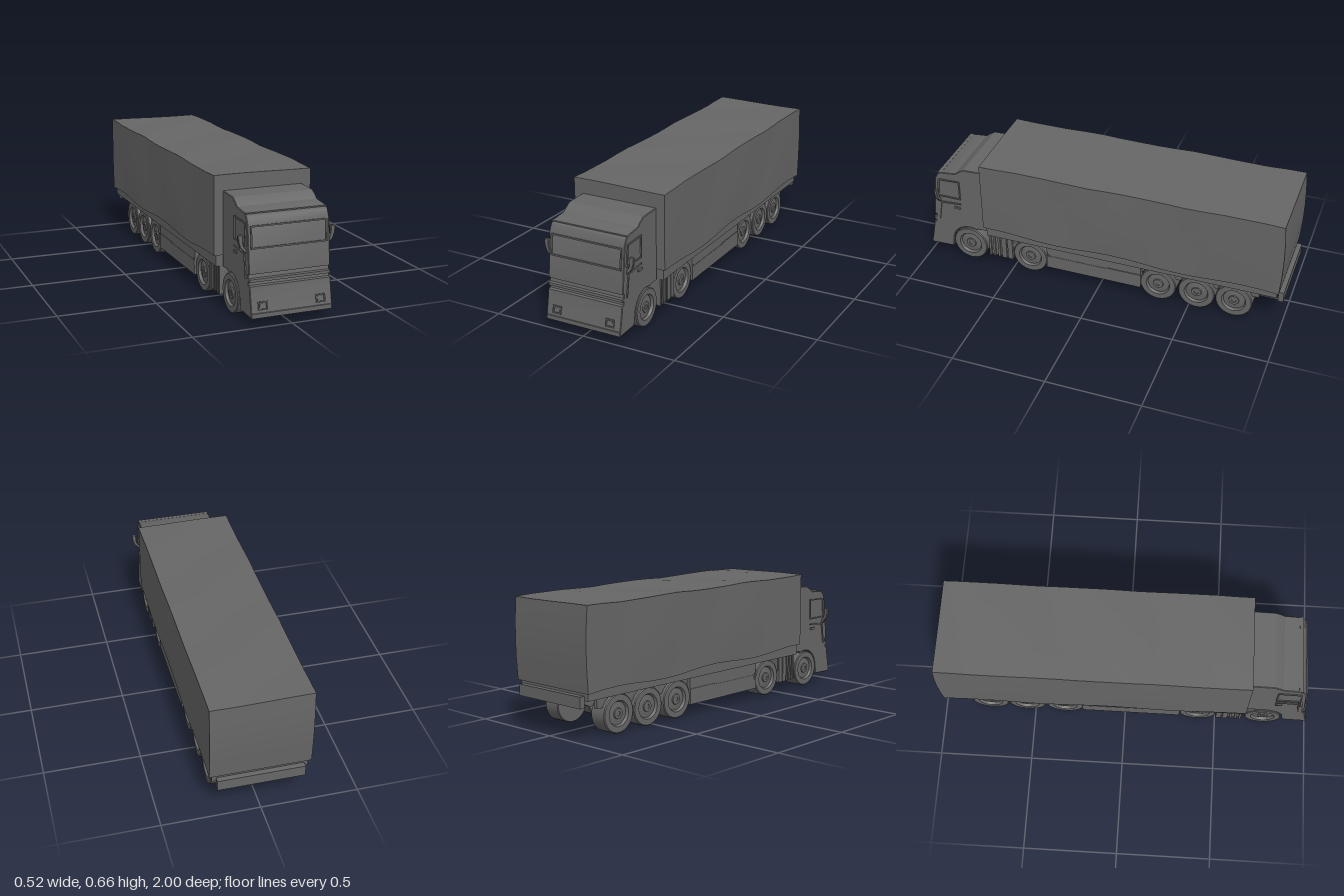
import * as THREE from 'three';
import { toCreasedNormals } from 'three/addons/utils/BufferGeometryUtils.js';

const paint = new THREE.MeshStandardMaterial({ color: 0x666666 });

export function createModel() {
  const truck = new THREE.Group();
  truck.name = 'truck';

  const add = (name, geometry, x = 0, y = 0, z = 0, parent = truck) => {
    const mesh = new THREE.Mesh(geometry, paint);
    mesh.name = name;
    mesh.position.set(x, y, z);
    parent.add(mesh);
    return mesh;
  };
  // Box given by its limits
  const box = (name, x0, x1, y0, y1, z0, z1) =>
    add(name, new THREE.BoxGeometry(x1 - x0, y1 - y0, z1 - z0), (x0 + x1) / 2, (y0 + y1) / 2, (z0 + z1) / 2);
  const shapeOf = (points) => new THREE.Shape(points.map(([a, b]) => new THREE.Vector2(a, b)));
  // Side profile in (z, y), extruded across x around x = 0
  const extrudeAcross = (shape, width, bevel = 0) => {
    const g = new THREE.ExtrudeGeometry(shape, {
      depth: width - 2 * bevel, bevelEnabled: bevel > 0, bevelSize: bevel, bevelThickness: bevel,
      bevelOffset: -bevel, bevelSegments: 1, curveSegments: 20,
    });
    g.translate(0, 0, -(width - 2 * bevel) / 2).rotateY(-Math.PI / 2);
    return toCreasedNormals(g, 0.5);
  };
  // Rectangular rim facing +z
  const rim = (w, h, t, depth) => {
    const rect = (a, b) => [[-a, -b], [a, -b], [a, b], [-a, b]];
    const s = shapeOf(rect(w / 2, h / 2));
    s.holes.push(shapeOf(rect(w / 2 - t, h / 2 - t).reverse()));
    return new THREE.ExtrudeGeometry(s, { depth, bevelEnabled: false });
  };

  // Cab: stepped grille, sloped windscreen, raised roof, open wheel arches
  const cab = shapeOf([
    [0.71, 0.2], [0.65, 0.2], [0.65, 0.578], [0.77, 0.574], [0.8, 0.556], [0.82, 0.54],
    [0.905, 0.532], [0.928, 0.518], [0.944, 0.485], [0.966, 0.265], [0.966, 0.25], [0.955, 0.246],
    [0.958, 0.23], [0.972, 0.227], [0.972, 0.213], [0.96, 0.209], [0.962, 0.198], [0.975, 0.194],
    [0.976, 0.18], [0.997, 0.07], [1.0, 0.068], [1.0, 0.046], [0.87, 0.05],
  ]);
  cab.absarc(0.757, 0.0985, 0.103, 0, 1.99, false);
  add('cab', extrudeAcross(cab, 0.418, 0.003));

  // Windscreen surround on the sloped face
  add('windscreenFrame', rim(0.392, 0.11, 0.007, 0.01), 0, 0.422, 0.947).rotation.x = -0.1;
  box('roofEdge', -0.209, 0.209, 0.527, 0.533, 0.902, 0.922);

  // Parts mirrored on both sides of the cab
  const mirrorArm = shapeOf([
    [0.2, 0.335], [0.216, 0.348], [0.238, 0.372], [0.247, 0.4], [0.25, 0.43],
    [0.245, 0.434], [0.229, 0.434], [0.226, 0.428], [0.226, 0.395], [0.219, 0.375], [0.2, 0.355],
  ]);
  const sideWindow = shapeOf([[0.798, 0.378], [0.935, 0.378], [0.923, 0.49], [0.798, 0.495]]);
  sideWindow.holes.push(shapeOf([[0.805, 0.385], [0.805, 0.488], [0.917, 0.483], [0.927, 0.385]]));
  const doorTrim = shapeOf([
    [0.8, 0.352], [0.92, 0.345], [0.938, 0.225], [0.932, 0.225], [0.914, 0.337], [0.8, 0.345],
  ]);
  for (const s of [-1, 1]) {
    const side = s > 0 ? 'left' : 'right';
    const arm = new THREE.ExtrudeGeometry(mirrorArm, {
      depth: 0.012, bevelEnabled: true, bevelSize: 0.002, bevelThickness: 0.002, bevelOffset: -0.002, bevelSegments: 1,
    });
    // The right arm is the left one turned half round
    add(side + 'Mirror', arm, 0, 0, s > 0 ? 0.92 : 0.932).rotation.y = s > 0 ? 0 : Math.PI;
    add(side + 'WindowFrame', extrudeAcross(sideWindow, 0.012), s * 0.209);
    add(side + 'DoorTrim', extrudeAcross(doorTrim, 0.012), s * 0.209);
    box(side + 'DoorHandle', s * 0.216 - 0.004, s * 0.216 + 0.004, 0.318, 0.329, 0.802, 0.836);
    // Headlight: rim with inset lens
    const lamp = new THREE.Group();
    lamp.name = side + 'Headlight';
    lamp.position.set(s * 0.149, 0.102, 0.9885);
    lamp.rotation.x = -0.19;
    add('lampRim', rim(0.048, 0.04, 0.006, 0.008), 0, 0, 0, lamp);
    add('lampLens', new THREE.BoxGeometry(0.03, 0.023, 0.01), 0, 0, 0, lamp);
    truck.add(lamp);
  }

  // Wheel: square-shouldered tyre, dished rim and hub
  const wheelProfile = [
    [0, 0], [0.0945, 0], [0.0985, 0.004], [0.0985, 0.089], [0.094, 0.093], [0.065, 0.093],
    [0.058, 0.08], [0.028, 0.084], [0.026, 0.09], [0.012, 0.09], [0.011, 0.087], [0, 0.087],
  ].map(([r, w]) => new THREE.Vector2(r, w));
  const wheelGeometry = toCreasedNormals(new THREE.LatheGeometry(wheelProfile, 32).rotateZ(-Math.PI / 2), 0.5);
  for (const z of [0.757, 0.4, -0.33, -0.54, -0.742]) {
    for (const s of [-1, 1]) {
      add((s > 0 ? 'left' : 'right') + 'Wheel', wheelGeometry, s * 0.121, 0.0985, z).rotation.y = s > 0 ? 0 : Math.PI;
    }
  }

  // Chassis with a rising tail
  add('chassis', extrudeAcross(shapeOf([
    [0.88, 0.215], [-0.95, 0.215], [-0.95, 0.18], [-0.84, 0.135], [0.88, 0.135],
  ]), 0.23));

  // Ribbed tank block behind the cab
  box('tankBlock', -0.214, 0.214, 0.058, 0.2, 0.5, 0.64);
  for (const s of [-1, 1]) {
    for (const [z0, z1] of [[0.502, 0.53], [0.538, 0.566], [0.576, 0.588], [0.604, 0.616], [0.628, 0.64]]) {
      box('tankRib', s * 0.214 - 0.008, s * 0.214 + 0.008, 0.055, 0.2, z0, z1);
    }
    // Side skirt: lower panel, recessed upper strip, short rail
    box('skirtPanel', s * 0.214 - 0.006, s * 0.214 + 0.006, 0.055, 0.132, -0.235, 0.3);
    box('skirtUpper', s * 0.212 - 0.006, s * 0.212 + 0.006, 0.132, 0.198, -0.235, 0.3);
    box('skirtRail', s * 0.217 - 0.005, s * 0.217 + 0.005, 0.128, 0.138, -0.235, -0.045);
    box('skirtBracket', s * 0.217 - 0.005, s * 0.217 + 0.005, 0.105, 0.14, 0.285, 0.296);
    // Panels between the trailer wheels, cut by three arches
    const panel = new THREE.Shape();
    panel.moveTo(-0.87, 0.205);
    panel.lineTo(-0.87, 0.14);
    for (const z of [-0.742, -0.54, -0.33]) panel.absarc(z, 0.0985, 0.102, Math.PI - 0.42, 0.42, true);
    panel.lineTo(-0.225, 0.205);
    add('wheelArchPanel', extrudeAcross(panel, 0.02), s * 0.185);
  }
  box('underbodyBox', -0.21, 0.21, 0.055, 0.2, -0.235, 0.3);

  // Trailer bed and rear bumper
  box('trailerBed', -0.24, 0.24, 0.2, 0.27, -0.968, 0.64);
  box('rearBumper', -0.22, 0.22, 0.166, 0.224, -1.0, -0.972);
  for (const s of [-1, 1]) box('bumperBracket', s * 0.14 - 0.015, s * 0.14 + 0.015, 0.18, 0.215, -0.98, -0.9);

  // Slack tarpaulin: loose sides, wavy top and hem, tight at both ends
  const H = 0.41, L = 1.63;
  const cloth = new THREE.BoxGeometry(0.51, H, L, 4, 4, 16);
  const p = cloth.attributes.position;
  for (let i = 0; i < p.count; i++) {
    const x = p.getX(i), y = p.getY(i), z = p.getZ(i);
    const u = x / 0.255, v = y / (H / 2), w = z / (L / 2);
    const bulge = (1 - v * v) * (1 - 0.4 * v) * (1 - w ** 4) * (0.002 + 0.004 * Math.sin(z * 9 + u));
    const hem = v < -0.9 ? 0.009 * Math.sin(z * 9 + 1) + 0.008 * z : 0;
    const sag = v > 0.9 ? 0.003 * Math.sin(z * 11 + 2 * u) + 0.001 * Math.sin(z * 23) : 0;
    const back = w < -0.999 ? 0.01 * (1 - v * v) : 0;
    p.setXYZ(i, x + u * bulge, y + hem + sag, z - back);
  }
  cloth.computeVertexNormals();
  add('tarpaulin', cloth, 0, 0.449, -0.163);

  return truck;
}
